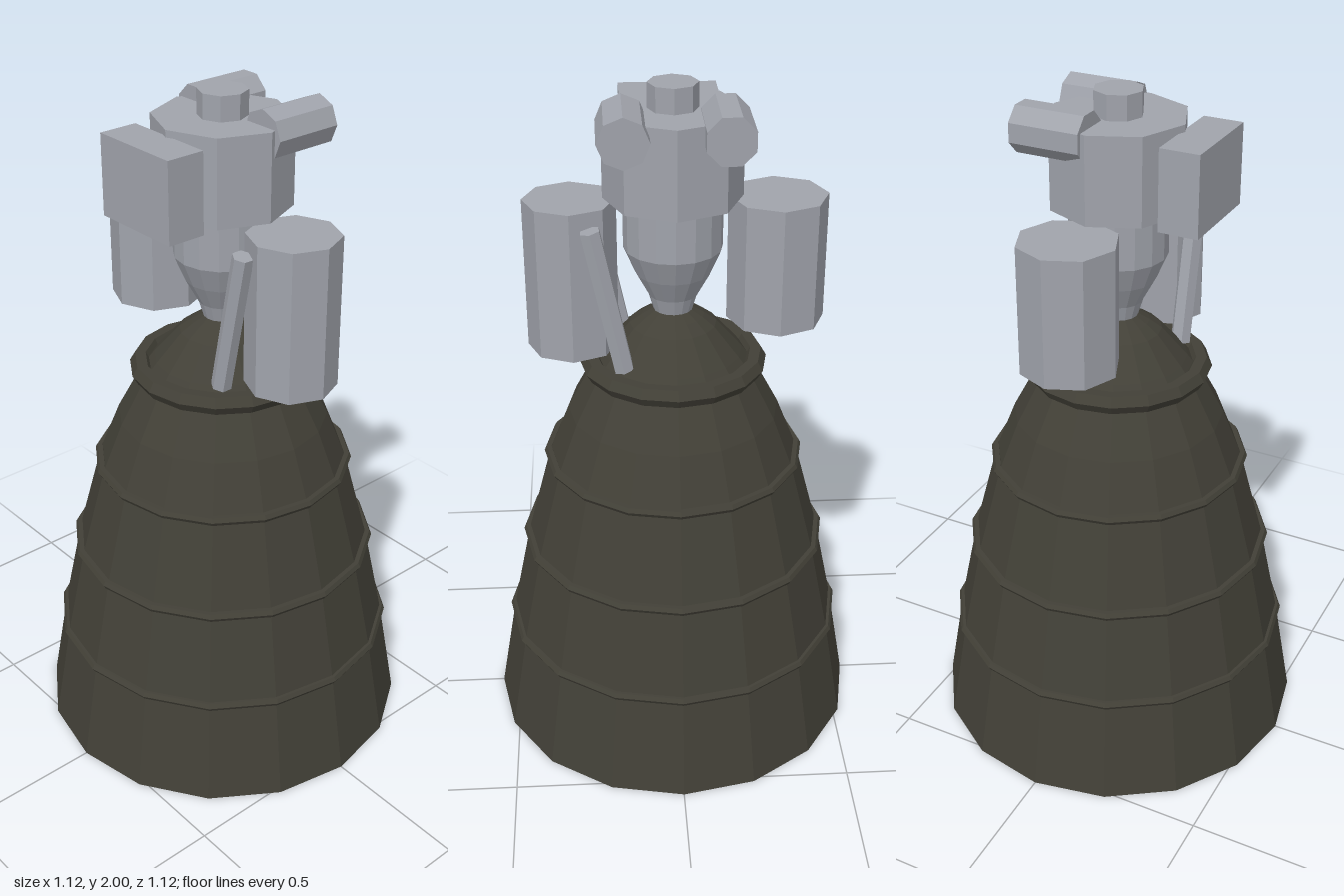
import * as THREE from 'three';

export function createModel() {
  const model = new THREE.Group();
  model.name = 'rocketEngine';

  const darkMetal = new THREE.MeshStandardMaterial({ color: 0x424037, flatShading: true, side: THREE.DoubleSide });
  darkMetal.name = 'dark nozzle metal';
  const greyMetal = new THREE.MeshStandardMaterial({ color: 0xa0a3ab, flatShading: true });
  greyMetal.name = 'grey metal';

  const add = (name, geometry, material, x = 0, y = 0, z = 0) => {
    const mesh = new THREE.Mesh(geometry, material);
    mesh.name = name;
    mesh.position.set(x, y, z);
    model.add(mesh);
    return mesh;
  };
  const lathe = (points, sides) =>
    new THREE.LatheGeometry(points.map(([r, y]) => new THREE.Vector2(r, y)), sides);
  // Upright prism between two heights
  const prism = (name, r, y0, y1, x = 0, z = 0) =>
    add(name, new THREE.CylinderGeometry(r, r, y1 - y0, 8), greyMetal, x, (y0 + y1) / 2, z);

  // Open nozzle bell, closing in to the throat
  add('nozzleBell', lathe([
    [0.56, 0], [0.505, 0.315], [0.445, 0.6], [0.37, 0.88], [0.31, 1.03],
    [0.235, 1.17], [0.2, 1.215], [0.125, 1.3], [0.09, 1.325], [0.055, 1.345],
  ], 16), darkMetal);

  // Stiffening rings and the collar at the top of the bell
  const ring = (name, r, tube, y) => {
    add(name, new THREE.TorusGeometry(r, tube, 6, 16), darkMetal, 0, y, 0).rotation.x = Math.PI / 2;
  };
  [[0.504, 0.315], [0.448, 0.6], [0.373, 0.88]].forEach(([r, y]) => ring('stiffeningRing', r, 0.014, y));
  ring('nozzleCollar', 0.241, 0.031, 1.183);

  // Combustion chamber
  add('combustionChamber', lathe([
    [0, 1.34], [0.055, 1.34], [0.07, 1.39], [0.108, 1.46], [0.14, 1.535], [0.14, 1.69], [0, 1.69],
  ], 16), greyMetal);

  // Pump body and its cap
  prism('pumpBody', 0.195, 1.68, 1.93);
  prism('topCap', 0.07, 1.92, 2);

  // Side tanks
  prism('rightTank', 0.14, 1.31, 1.68, -0.293);
  prism('leftTank', 0.13, 1.24, 1.68, 0.287);

  // Control box on the front
  add('controlBox', new THREE.BoxGeometry(0.28, 0.23, 0.115), greyMetal, 0, 1.795, 0.2425);

  // Pipes lying across the top, towards the back
  [[-0.138, Math.PI / 8], [0.14, 0]].forEach(([x, turn]) => {
    const pipe = new THREE.CylinderGeometry(0.07, 0.07, 0.205, 8).rotateY(turn).rotateX(Math.PI / 2);
    add('topPipe', pipe, greyMetal, x, 1.905, -0.1175);
  });

  // Slanted struts beside the left tank
  const low = new THREE.Vector2(0.145, 1.215);
  const high = new THREE.Vector2(0.232, 1.635);
  const span = high.clone().sub(low);
  for (const side of [-1, 1]) {
    const strut = add('strut', new THREE.CylinderGeometry(0.03, 0.03, span.length(), 6), greyMetal,
      (low.x + high.x) / 2, (low.y + high.y) / 2, side * 0.13);
    strut.rotation.z = -Math.atan2(span.x, span.y);
  }

  return model;
}
